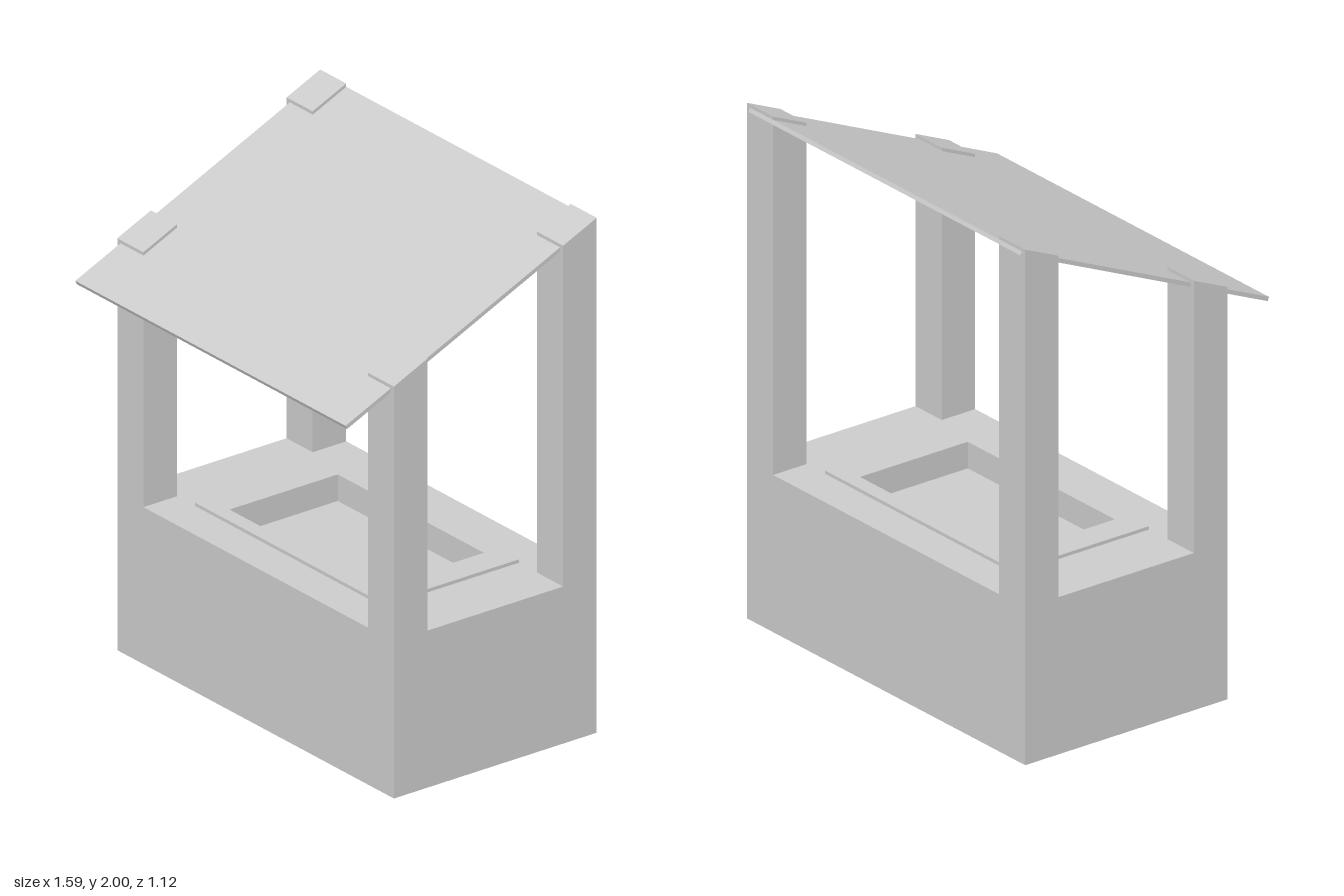
import * as THREE from 'three';

const W = 0.795, BACK = -0.55, FRONT = 0.357, POST = 0.15;
const DECK = 0.61, BASIN = 0.52, SLOPE = 0.441;

// height of the sloping post tops at depth z
const slopeY = (z) => 2 - SLOPE * (z - BACK);

export function createModel() {
  const group = new THREE.Group();
  const material = new THREE.MeshStandardMaterial({ color: 0xcccccc, flatShading: true });

  const add = (name, geometry) => {
    const mesh = new THREE.Mesh(geometry, material);
    mesh.name = name;
    group.add(mesh);
    return mesh;
  };

  // side profile of [z, y] points, extruded along x from x0 to x1
  const sideExtrude = (points, x0, x1) => {
    const shape = new THREE.Shape(points.map(([z, y]) => new THREE.Vector2(-z, y)));
    return new THREE.ExtrudeGeometry(shape, { depth: x1 - x0, bevelEnabled: false })
      .rotateY(Math.PI / 2).translate(x0, 0, 0);
  };

  const rect = (Type, x, z0, z1) => new Type([
    new THREE.Vector2(-x, -z1), new THREE.Vector2(x, -z1),
    new THREE.Vector2(x, -z0), new THREE.Vector2(-x, -z0),
  ]);

  // horizontal frame around the basin opening, between heights y0 and y1
  const frame = (x, z0, z1, y0, y1) => {
    const shape = rect(THREE.Shape, x, z0, z1);
    shape.holes.push(rect(THREE.Path, 0.42, -0.337, 0.147));
    return new THREE.ExtrudeGeometry(shape, { depth: y1 - y0, bevelEnabled: false })
      .rotateX(-Math.PI / 2).translate(0, y0, 0);
  };

  // counter body with sunken basin and raised rim
  add('counterBase', new THREE.BoxGeometry(2 * W, BASIN, FRONT - BACK)
    .translate(0, BASIN / 2, (FRONT + BACK) / 2));
  add('counterTop', frame(W, BACK, FRONT, BASIN, DECK));
  add('basinRim', frame(0.54, BACK + POST, FRONT - POST, DECK, DECK + 0.013));

  // corner posts with slanted tops poking through the roof
  for (const [side, x0] of [['Right', -W], ['Left', W - POST]]) {
    for (const [end, z0] of [['back', BACK], ['front', FRONT - POST]]) {
      const z1 = z0 + POST;
      add(`${end}${side}Post`, sideExtrude(
        [[z0, DECK], [z0, slopeY(z0)], [z1, slopeY(z1)], [z1, DECK]], x0, x0 + POST));
    }
  }

  // thin sloping roof panel, overhanging the front
  const a = Math.atan(SLOPE), t = 0.016;
  const dz = -t * Math.sin(a), dy = -t * Math.cos(a);
  const zb = BACK, zf = 0.559;
  const yb = slopeY(zb) - 0.013, yf = slopeY(zf) - 0.013;
  add('roof', sideExtrude(
    [[zb + dz, yb + dy], [zb, yb], [zf, yf], [zf + dz, yf + dy]], -0.777, 0.777));

  return group;
}
